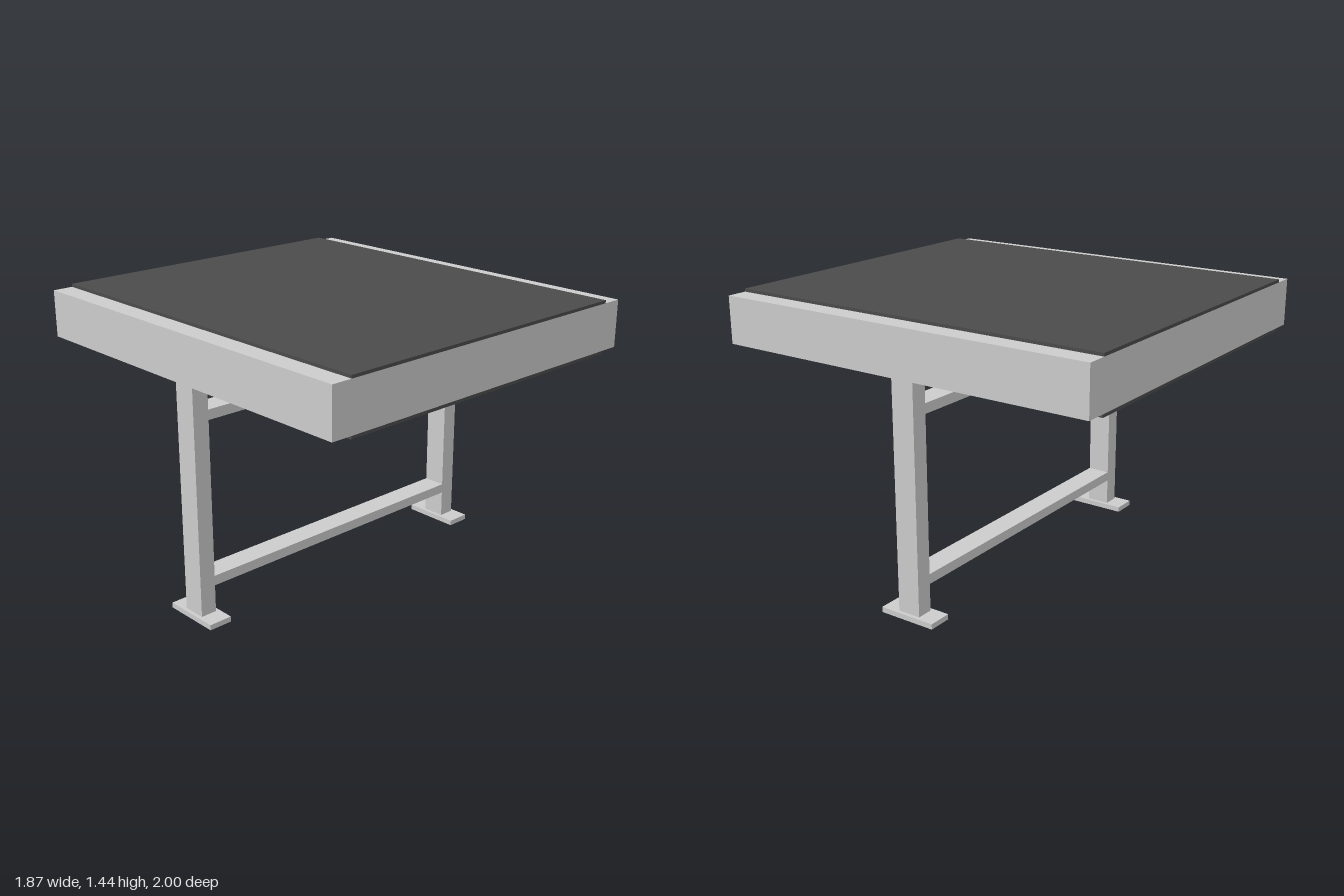
import * as THREE from 'three';

const grey = new THREE.MeshStandardMaterial({ color: 0xcccccc, flatShading: true });
const dark = new THREE.MeshStandardMaterial({ color: 0x4b4b4b, flatShading: true });

// Box given by its extents along each axis
function block(name, [x0, x1], [y0, y1], [z0, z1], material = grey) {
  const mesh = new THREE.Mesh(new THREE.BoxGeometry(x1 - x0, y1 - y0, z1 - z0), material);
  mesh.position.set((x0 + x1) / 2, (y0 + y1) / 2, (z0 + z1) / 2);
  mesh.name = name;
  return mesh;
}

export function createModel() {
  const table = new THREE.Group();
  table.name = 'table';

  // Thick top with a thin dark sheet above and below
  table.add(block('topFrame', [-0.935, 0.935], [1.19, 1.425], [-1, 1]));
  table.add(block('upperPanel', [-0.832, 0.832], [1.425, 1.44], [-1, 1], dark));
  table.add(block('lowerPanel', [-0.832, 0.832], [1.175, 1.19], [-1, 1], dark));

  // One post and foot plate at each side
  for (const [side, x] of [['right', -0.857], ['left', 0.83]]) {
    const leg = new THREE.Group();
    leg.name = side + 'Leg';
    leg.add(block('post', [x - 0.042, x + 0.042], [0.027, 1.195], [-0.06, 0.06]));
    leg.add(block('footPlate', [x - 0.061, x + 0.061], [0, 0.027], [-0.15, 0.15]));
    table.add(leg);
  }

  // Rails joining the posts
  for (const [name, y] of [['lowerRail', 0.165], ['upperRail', 1.0]]) {
    table.add(block(name, [-0.815, 0.788], [y, y + 0.05], [-0.06, 0.06]));
  }
  return table;
}
